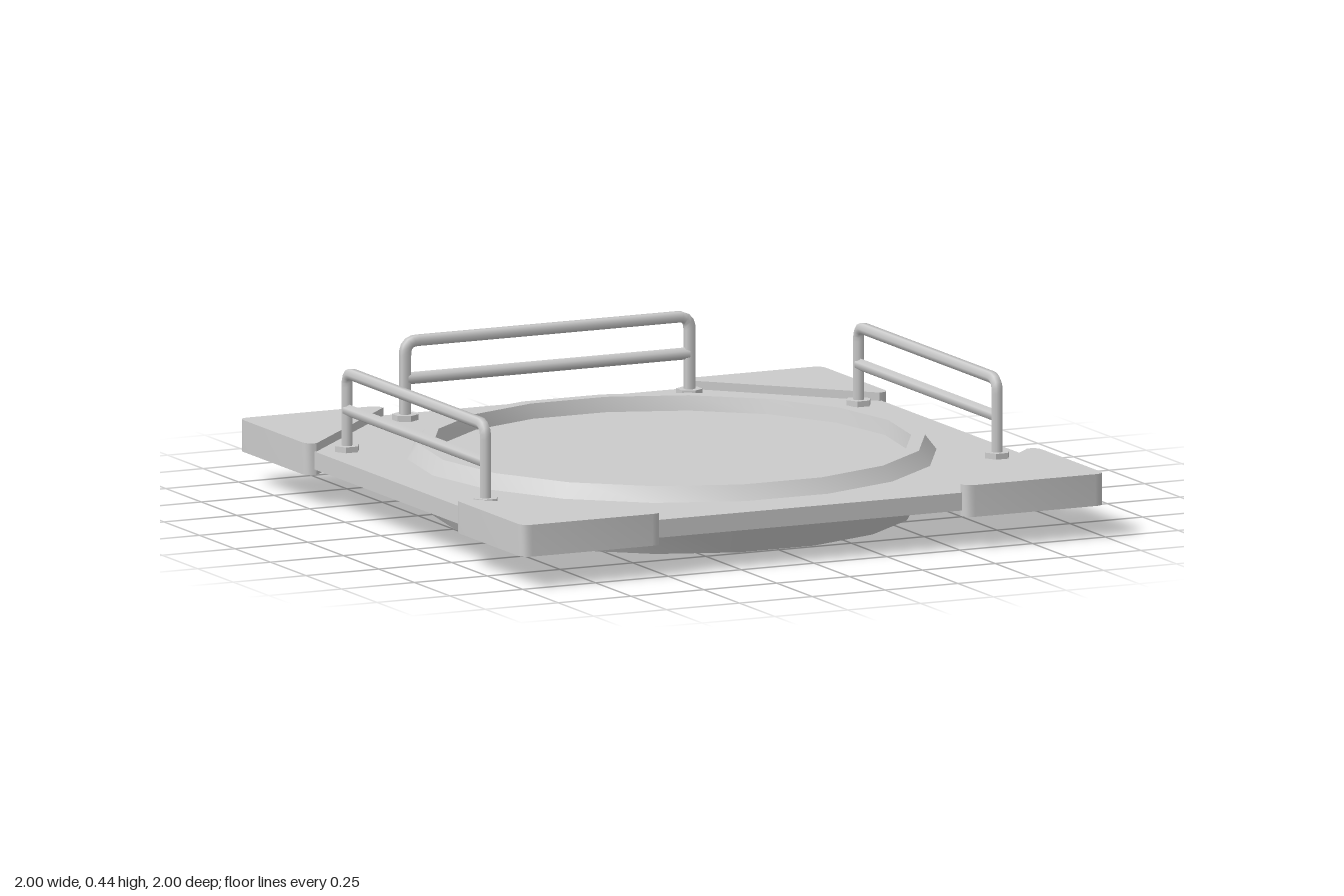
import * as THREE from 'three';
import { toCreasedNormals } from 'three/addons/utils/BufferGeometryUtils.js';

const material = new THREE.MeshStandardMaterial({ color: 0xcccccc });
const PLATE_BOTTOM = 0.118, PLATE_TOP = 0.174, RECESS = 0.068;

function addMesh(parent, name, geometry) {
  const mesh = new THREE.Mesh(geometry, material);
  mesh.name = name;
  parent.add(mesh);
  return mesh;
}

// 18-sided ring from a profile of [radius, height] pairs
function ringGeometry(profile) {
  const points = profile.map(([r, y]) => new THREE.Vector2(r, y));
  const geometry = new THREE.LatheGeometry(points, 18);
  geometry.rotateY(Math.PI / 2);
  return toCreasedNormals(geometry, Math.PI / 6);
}

// Rounded triangular block wrapping one corner of the plate
function cornerGeometry() {
  const r = 0.034, a = 0.52, b = 0.962;
  const s = new THREE.Shape();
  s.moveTo(a + 0.004, b);
  s.lineTo(b, a + 0.004);
  s.lineTo(1 - r, a);
  s.quadraticCurveTo(1, a, 1, a + r);
  s.lineTo(1, 1 - r);
  s.quadraticCurveTo(1, 1, 1 - r, 1);
  s.lineTo(a + r, 1);
  s.quadraticCurveTo(a, 1, a, 1 - r);
  s.closePath();
  const geometry = new THREE.ExtrudeGeometry(s, { depth: 0.1, bevelEnabled: false, curveSegments: 4 });
  geometry.rotateX(-Math.PI / 2);
  geometry.translate(0, 0.1, 0);
  return toCreasedNormals(geometry, Math.PI / 5);
}

// Guard rail running along x at the back edge
function createRail() {
  const rail = new THREE.Group();
  const w = 0.488, top = 0.42, bend = 0.04, radius = 0.019;
  const p = (x, y) => new THREE.Vector3(x, y, 0);
  const path = new THREE.CurvePath();
  path.add(new THREE.LineCurve3(p(-w, PLATE_TOP), p(-w, top - bend)));
  path.add(new THREE.QuadraticBezierCurve3(p(-w, top - bend), p(-w, top), p(-w + bend, top)));
  path.add(new THREE.LineCurve3(p(-w + bend, top), p(w - bend, top)));
  path.add(new THREE.QuadraticBezierCurve3(p(w - bend, top), p(w, top), p(w, top - bend)));
  path.add(new THREE.LineCurve3(p(w, top - bend), p(w, PLATE_TOP)));
  addMesh(rail, 'railFrame', new THREE.TubeGeometry(path, 100, radius, 6));

  const bar = new THREE.CylinderGeometry(radius, radius, 2 * w, 6, 1, true);
  bar.rotateY(Math.PI / 2);
  bar.rotateZ(Math.PI / 2);
  addMesh(rail, 'railMiddleBar', bar).position.y = 0.303;

  for (const side of [-1, 1]) {
    const foot = toCreasedNormals(new THREE.CylinderGeometry(0.041, 0.041, 0.02, 6), 0.5);
    addMesh(rail, 'railFoot', foot).position.set(side * w, PLATE_TOP + 0.008, 0);
  }
  return rail;
}

export function createModel() {
  const model = new THREE.Group();
  model.name = 'platform';

  // Square deck
  const plate = new THREE.BoxGeometry(1.946, PLATE_TOP - PLATE_BOTTOM, 1.946);
  addMesh(model, 'deck', plate).position.y = (PLATE_TOP + PLATE_BOTTOM) / 2;

  // Raised rim above the deck
  addMesh(model, 'upperRim', ringGeometry([
    [0.822, PLATE_TOP - 0.002], [0.785, 0.22], [0.742, 0.22], [0.73, PLATE_TOP - 0.002]]));

  // Tapered base below, with a shallow recess underneath
  addMesh(model, 'lowerBase', ringGeometry([
    [0, RECESS], [0.68, RECESS], [0.685, 0], [0.747, 0], [0.812, PLATE_BOTTOM + 0.002]]));

  // Four corner blocks
  const corner = cornerGeometry();
  for (let i = 0; i < 4; i++) {
    addMesh(model, 'cornerBlock', corner).rotation.y = i * Math.PI / 2;
  }

  // Rails on the back, left and right; the front stays open
  const sides = [['backRail', 0], ['rightRail', 1], ['leftRail', -1]];
  for (const [name, turn] of sides) {
    const rail = createRail();
    rail.name = name;
    rail.rotation.y = turn * Math.PI / 2;
    rail.position.set(-0.878 * turn, 0, turn === 0 ? -0.878 : 0);
    model.add(rail);
  }
  return model;
}
